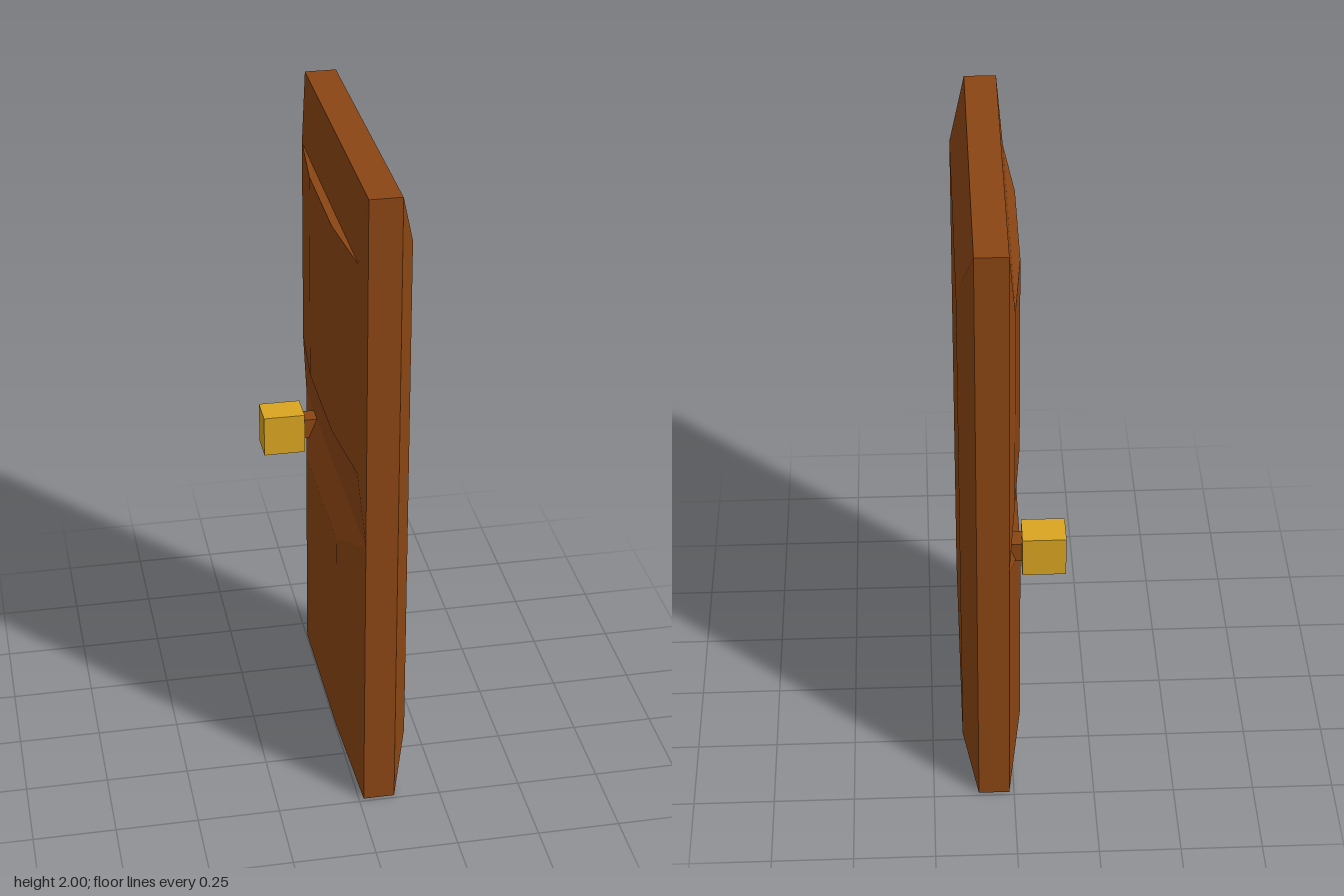
import * as THREE from 'three';

const wood = new THREE.MeshStandardMaterial({ color: 0x8b4513, flatShading: true });
const brass = new THREE.MeshStandardMaterial({ color: 0xdaa520, flatShading: true });

// Box given by its extents along each axis
function box(name, material, [x0, x1], [y0, y1], [z0, z1]) {
  const mesh = new THREE.Mesh(new THREE.BoxGeometry(x1 - x0, y1 - y0, z1 - z0), material);
  mesh.position.set((x0 + x1) / 2, (y0 + y1) / 2, (z0 + z1) / 2);
  mesh.name = name;
  return mesh;
}

// Raised panel: rectangles [x, y0, y1, halfDepth] joined from the slab outwards, last one capped
function raisedPanel(name, rings) {
  const corners = rings.map(([x, y0, y1, h]) => [[x, y0, -h], [x, y0, h], [x, y1, h], [x, y1, -h]]);
  const facesRight = rings[rings.length - 1][0] > rings[0][0];
  const points = [];
  const quad = (a, b, c, d) =>
    points.push(...(facesRight ? [a, c, b, a, d, c] : [a, b, c, a, c, d]).flat());
  for (let r = 0; r < corners.length - 1; r++) {
    for (let i = 0; i < 4; i++) {
      const j = (i + 1) % 4;
      quad(corners[r][i], corners[r][j], corners[r + 1][j], corners[r + 1][i]);
    }
  }
  quad(...corners[corners.length - 1]);
  const geometry = new THREE.BufferGeometry();
  geometry.setAttribute('position', new THREE.Float32BufferAttribute(points, 3));
  geometry.computeVertexNormals();
  const mesh = new THREE.Mesh(geometry, wood);
  mesh.name = name;
  return mesh;
}

export function createModel() {
  const door = new THREE.Group();
  door.name = 'door';

  // Plain door leaf
  door.add(box('doorSlab', wood, [0.015, 0.11], [0, 2], [-0.488, 0.488]));

  // One tall panel on the +x face
  door.add(raisedPanel('tallPanel', [[0.11, 0, 2, 0.488], [0.157, 0.18, 1.83, 0.403]]));

  // Two panels on the -x face; the upper one has a shallow step before its centre
  door.add(raisedPanel('lowerPanel', [[0.015, 0, 0.905, 0.488], [-0.028, 0.12, 0.8, 0.255]]));
  door.add(raisedPanel('upperPanel', [
    [0.015, 0.905, 2, 0.488],
    [-0.003, 1.13, 1.79, 0.444],
    [-0.028, 1.13, 1.79, 0.18],
  ]));

  // Handle
  door.add(box('knobStem', wood, [-0.03, 0.02], [0.84, 0.905], [-0.36, -0.3]));
  door.add(box('knob', brass, [-0.158, -0.028], [0.802, 0.934], [-0.38, -0.28]));

  return door;
}
